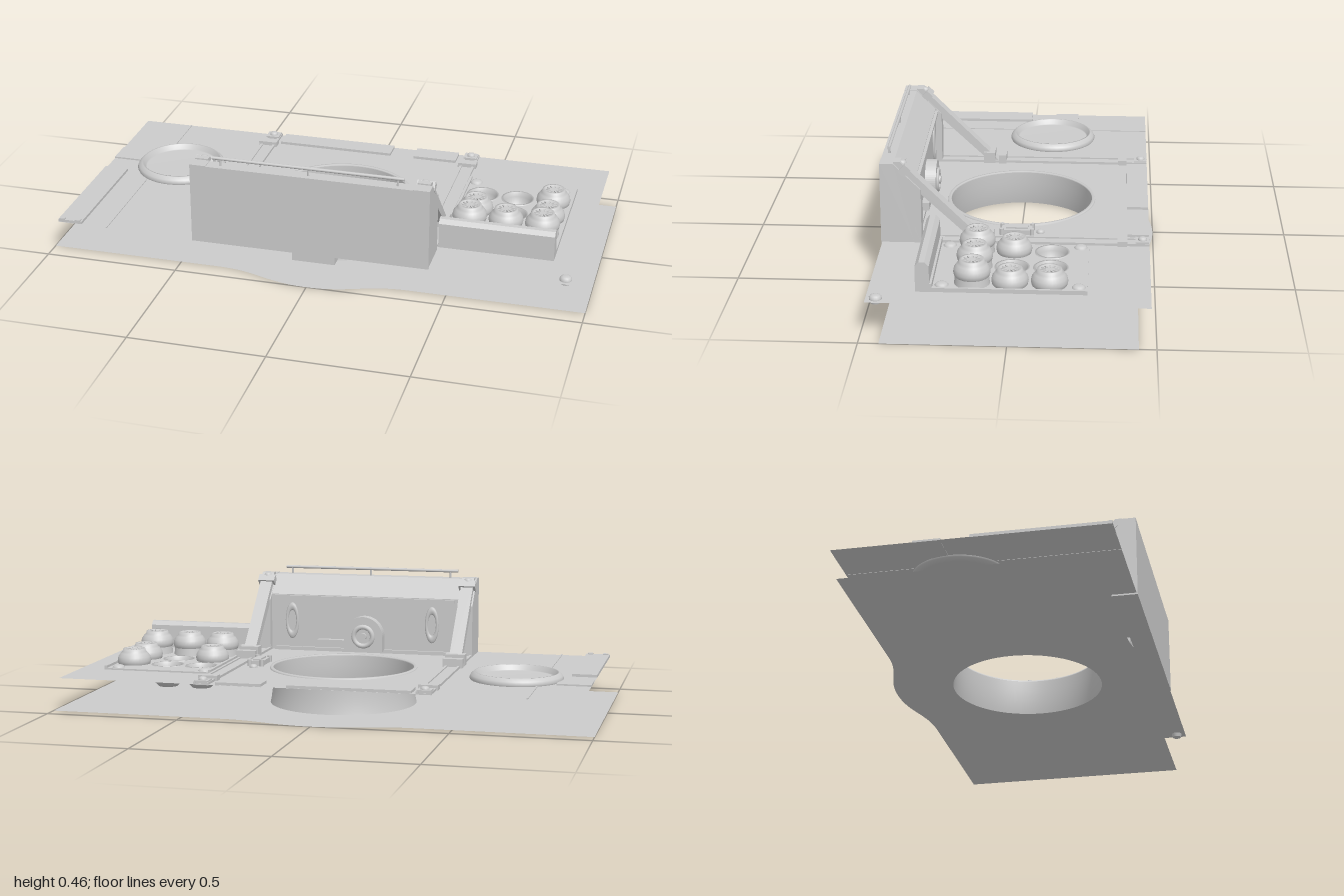
import * as THREE from 'three';

const mat = new THREE.MeshStandardMaterial({ color: 0xcccccc, side: THREE.DoubleSide });
const FLOOR = 0.131;

export function createModel() {
  const model = new THREE.Group();

  const add = (name, geo, x = 0, y = 0, z = 0, parent = model) => {
    const m = new THREE.Mesh(geo, mat);
    m.name = name;
    m.position.set(x, y, z);
    parent.add(m);
    return m;
  };
  // box given by its limits on each axis
  const box = (name, x0, x1, y0, y1, z0, z1) =>
    add(name, new THREE.BoxGeometry(x1 - x0, y1 - y0, z1 - z0), (x0 + x1) / 2, (y0 + y1) / 2, (z0 + z1) / 2);
  const cyl = (name, r0, r1, h, x, y, z, n = 20) => add(name, new THREE.CylinderGeometry(r0, r1, h, n), x, y, z);
  const lathe = (pts, n = 32) => new THREE.LatheGeometry(pts.map(p => new THREE.Vector2(...p)), n);
  const circle = (x, z, r) => new THREE.Path().absarc(x, z, r, 0, Math.PI * 2, true);
  const rect = (x0, x1, z0, z1, Kind = THREE.Shape) =>
    new Kind([[x0, z0], [x1, z0], [x1, z1], [x0, z1]].map(p => new THREE.Vector2(...p)));
  // profile in (z, y), extruded along x
  const prism = (name, pts, x0, x1) => {
    const s = new THREE.Shape(pts.map(([z, y]) => new THREE.Vector2(-z, y)));
    const g = new THREE.ExtrudeGeometry(s, { depth: x1 - x0, bevelEnabled: false });
    return add(name, g.rotateY(Math.PI / 2), x0);
  };
  const dome = (name, x, z, r, h, y = FLOOR) =>
    add(name, lathe([[r, 0], [r, h * 0.4], [r * 0.8, h * 0.8], [r * 0.45, h], [0, h]], 16), x, y, z);

  // lower sheet, its long edges swelling at the middle
  const low = new THREE.Shape();
  low.moveTo(-1, -0.44);
  low.lineTo(-0.36, -0.44);
  low.bezierCurveTo(-0.2, -0.44, -0.16, -0.5, 0, -0.5);
  low.bezierCurveTo(0.16, -0.5, 0.2, -0.44, 0.36, -0.44);
  low.lineTo(1, -0.44);
  low.lineTo(1, 0.43);
  low.lineTo(0.36, 0.43);
  low.bezierCurveTo(0.2, 0.43, 0.16, 0.5, 0, 0.5);
  low.bezierCurveTo(-0.16, 0.5, -0.2, 0.43, -0.36, 0.43);
  low.lineTo(-1, 0.43);
  low.holes.push(circle(0, 0, 0.278));
  add('lowerSheet', new THREE.ShapeGeometry(low, 32).rotateX(Math.PI / 2));

  // upper sheet
  const up = rect(-0.96, 0.96, -0.48, 0.48);
  up.holes.push(circle(0, 0, 0.267), rect(0.455, 0.855, -0.21, 0.2, THREE.Path));
  add('upperSheet', new THREE.ShapeGeometry(up, 48).rotateX(Math.PI / 2), 0, FLOOR);

  // flared throat joining the sheets
  add('throat', lathe([[0.278, 0], [0.274, 0.02], [0.27, 0.05], [0.267, 0.09], [0.267, 0.132]], 64));
  add('throatLip', lathe([[0.267, 0.132], [0.268, 0.137], [0.278, 0.137], [0.28, 0.131]], 64));

  // front housing: core, cheeks and trims
  prism('housing', [[0.484, 0.125], [0.484, 0.428], [0.435, 0.428], [0.362, 0.355], [0.362, 0.125]], -0.435, 0.445);
  for (const [a, b] of [[-0.435, -0.375], [0.385, 0.445]])
    prism('cheek', [[0.484, 0.125], [0.484, 0.43], [0.435, 0.43], [0.338, 0.333], [0.338, 0.125]], a, b);
  box('wallLedge', -0.36, 0.37, 0.34, 0.352, 0.35, 0.364);
  box('wallFoot', -0.36, 0.37, FLOOR, 0.145, 0.35, 0.364);
  box('wallBox', 0.08, 0.19, 0.15, 0.18, 0.335, 0.364);
  for (const x of [-0.27, 0.3]) {
    const slot = add('wallSlot', new THREE.TorusGeometry(0.022, 0.006, 8, 24), x, 0.25, 0.36);
    slot.scale.y = 2.6;
  }

  // arched bracket with a ring on the wall
  const arch = new THREE.Shape();
  arch.moveTo(-0.078, 0.14);
  arch.lineTo(0.078, 0.14);
  arch.lineTo(0.078, 0.2);
  arch.absarc(0, 0.2, 0.078, 0, Math.PI, false);
  add('archBracket', new THREE.ExtrudeGeometry(arch, { depth: 0.042, bevelEnabled: false, curveSegments: 16 }), 0, 0, 0.321);
  add('archRing', new THREE.TorusGeometry(0.038, 0.01, 10, 28), 0, 0.2, 0.322);
  cyl('archHub', 0.015, 0.015, 0.02, 0, 0.2, 0.318).rotation.x = Math.PI / 2;

  // hand rail on the housing
  cyl('railBar', 0.006, 0.006, 0.705, -0.003, 0.455, 0.46, 10).rotation.z = Math.PI / 2;
  for (const x of [-0.325, 0, 0.325]) cyl('railPost', 0.004, 0.004, 0.03, x, 0.44, 0.46, 8);

  // parts hanging below the housing
  box('underBox', -0.08, 0.08, 0.05, 0.13, 0.32, 0.402);
  for (const x of [-0.328, 0.328]) box('underPeg', x - 0.032, x + 0.032, 0.08, 0.13, 0.36, 0.385);

  // diagonal struts, floor rails and clamps
  for (const x of [-0.405, 0.413]) {
    prism('strut', [[0.435, 0.435], [0.41, 0.435], [0.105, 0.133], [0.145, 0.133], [0.435, 0.405]], x - 0.024, x + 0.024);
    for (const s of [-1, 1]) box('floorRail', x + s * 0.024 - 0.005, x + s * 0.024 + 0.005, 0.129, 0.14, -0.48, 0.36);
    box('railBed', x - 0.024, x + 0.024, 0.129, 0.135, -0.48, 0.36);
    box('railClamp', x - 0.036, x + 0.036, 0.13, 0.15, -0.4, -0.365);
    box('railEnd', x - 0.026, x + 0.026, 0.13, 0.145, -0.478, -0.43);
    dome('railBolt', x, -0.455, 0.016, 0.012, 0.144);
    box('strutFoot', x - 0.038, x + 0.038, 0.13, 0.165, 0.08, 0.11);
    box('strutFoot', x - 0.038, x + 0.038, 0.13, 0.175, 0.125, 0.17);
    const clamp = add('strutClamp', new THREE.BoxGeometry(0.066, 0.03, 0.035), x, 0.405, 0.395);
    clamp.rotation.x = Math.PI / 4;
    dome('strutBolt', x, 0.405, 0.016, 0.015, 0.42);
  }

  // raised covers along the back edge
  box('backCover', -0.36, 0.095, 0.13, 0.141, -0.478, -0.4);
  box('backCover', 0.19, 0.36, 0.13, 0.141, -0.478, -0.4);

  // small latch beside the throat
  box('latch', 0.305, 0.36, 0.13, 0.15, -0.055, 0.055);
  box('latchTop', 0.318, 0.347, 0.15, 0.156, -0.04, 0.04);
  for (const z of [-0.055, 0.055]) for (const x of [0.308, 0.357]) cyl('latchPin', 0.008, 0.008, 0.025, x, 0.143, z, 10);
  dome('latchKnob', 0.332, -0.085, 0.015, 0.012);

  // launcher tray with nine openings
  const cols = [0.522, 0.657, 0.792], rows = [-0.135, 0, 0.13];
  const tray = rect(0.445, 0.865, -0.265, 0.262);
  for (const x of cols) for (const z of rows) tray.holes.push(circle(x, z, 0.06));
  add('tray', new THREE.ExtrudeGeometry(tray, { depth: 0.017, bevelEnabled: false, curveSegments: 16 }).rotateX(Math.PI / 2), 0, 0.137);
  for (const x of [0.445, 0.855]) box('trayEdge', x, x + 0.01, 0.12, 0.146, -0.265, 0.27);
  prism('trayWall', [[0.318, 0.125], [0.318, 0.225], [0.305, 0.24], [0.285, 0.24], [0.27, 0.225], [0.27, 0.125]], 0.445, 0.865);
  box('trayWallRib', 0.445, 0.865, 0.14, 0.16, 0.262, 0.272);
  for (const x of [0.478, 0.818]) for (const z of [-0.235, 0.232]) dome('trayBolt', x, z, 0.024, 0.016);

  // canisters, the front row raised; three sockets stay empty
  const canGeo = lathe([[0, 0.188], [0.03, 0.188], [0.034, 0.195], [0.042, 0.195], [0.045, 0.184], [0.052, 0.178],
    [0.061, 0.165], [0.064, 0.15], [0.061, 0.137], [0.055, 0.131]]);
  const socketGeo = lathe([[0.055, 0.137], [0.064, 0.134], [0.066, 0.125], [0.066, 0.1], [0.06, 0.09], [0, 0.09]]);
  const cupGeo = lathe([[0, 0.095], [0.018, 0.095], [0.022, 0.085], [0.04, 0.085], [0.052, 0.12], [0.054, 0.139], [0.062, 0.139],
    [0.066, 0.125], [0.066, 0.095], [0.06, 0.08], [0.036, 0.056], [0, 0.056]]);
  rows.forEach((z, r) => cols.forEach((x, c) => {
    if ((r === 0 && c < 2) || (r === 1 && c === 1)) {
      add('emptySocket', cupGeo, x, 0, z);
      return;
    }
    const can = new THREE.Group();
    can.name = 'canister';
    can.position.set(x, 0, z);
    model.add(can);
    add('socket', socketGeo, 0, 0, 0, can);
    const lift = r === 2 ? 0.03 : 0;
    add('canisterBody', canGeo, 0, lift, 0, can);
    if (lift) add('canisterSleeve', new THREE.CylinderGeometry(0.058, 0.062, 0.035, 32, 1, true), 0, 0.15, 0, can);
    for (let i = 0; i < 6; i++)
      add('capRib', new THREE.BoxGeometry(0.066, 0.006, 0.006), 0, 0.19 + lift, 0, can).rotation.y = i * Math.PI / 6;
  }));

  // round hatch on the right wing
  add('hatch', lathe([[0, 0.115], [0.15, 0.115], [0.168, 0.125], [0.173, 0.137], [0.168, 0.148], [0.156, 0.159], [0.15, 0.159],
    [0.143, 0.14], [0.138, 0.138], [0, 0.138]], 48), -0.676, 0, -0.095);

  // thin panels and seams on the right wing
  box('wingStrip', -0.96, -0.835, 0.13, 0.137, -0.195, -0.1);
  box('wingPanel', -0.96, -0.868, 0.13, 0.141, 0, 0.478);
  for (const [z0, z1] of [[-0.48, -0.235], [0.055, 0.48]]) box('wingSeam', -0.773, -0.767, 0.13, 0.134, z0, z1);
  for (const x of [-0.945, -0.885]) box('wingTab', x - 0.01, x + 0.01, 0.14, 0.145, 0.462, 0.478);

  // corner knob
  dome('cornerKnob', 0.927, 0.445, 0.022, 0.016);
  cyl('cornerKnobStem', 0.021, 0.017, 0.014, 0.927, 0.124, 0.445);

  return model;
}
